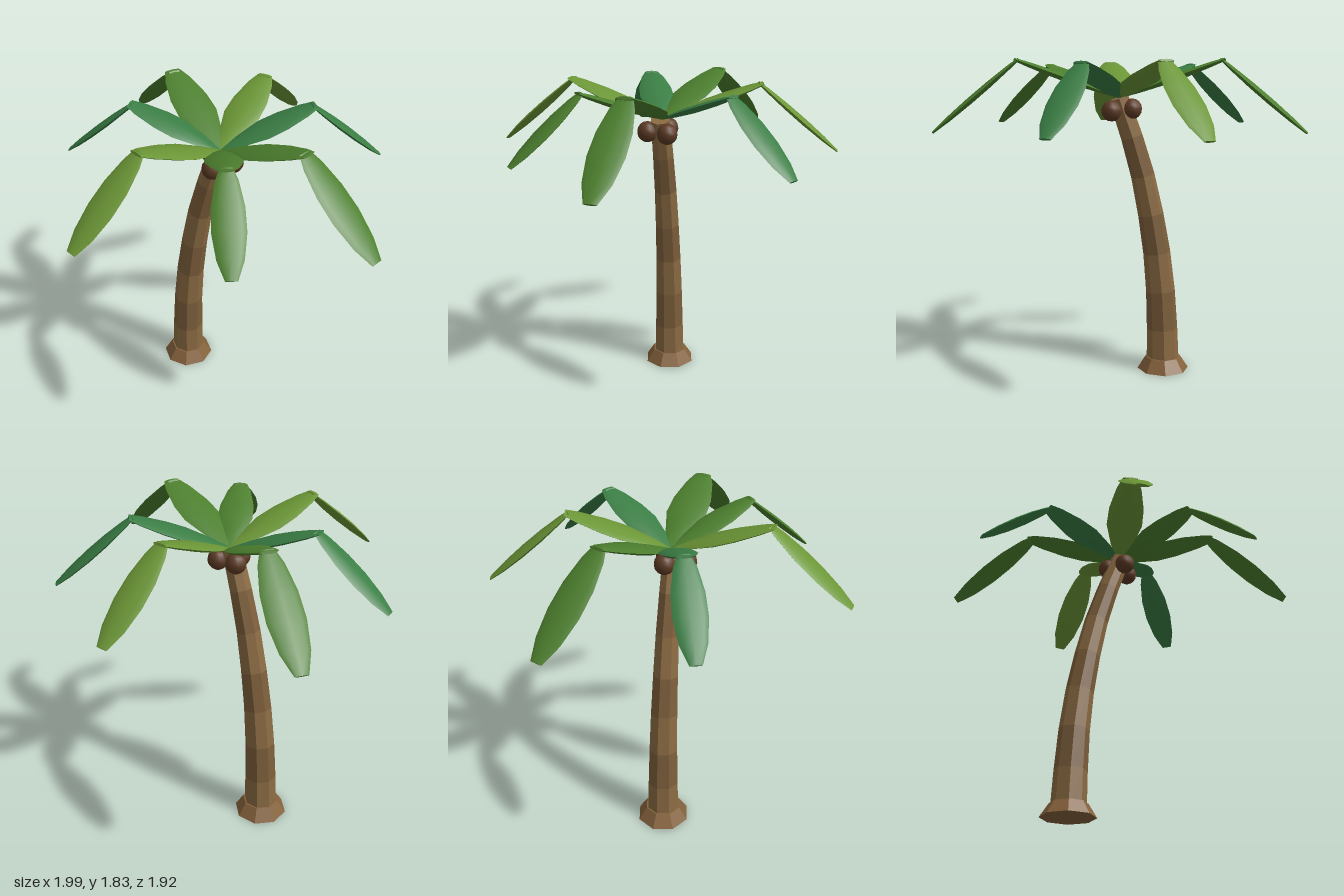
import * as THREE from 'three';
import { toCreasedNormals } from 'three/addons/utils/BufferGeometryUtils.js';

// Capped loft along a path in the xy plane.
// Each station: { p: centre, d: direction, w: half-size along z, h: half-size across }
function loft(stations, sides, phase = 0) {
  const pos = [], idx = [];
  const zAxis = new THREE.Vector3(0, 0, 1);
  for (const { p, d, w, h } of stations) {
    const v = d.clone().cross(zAxis);
    for (let j = 0; j < sides; j++) {
      const a = phase + (j / sides) * Math.PI * 2;
      const q = p.clone().addScaledVector(zAxis, Math.cos(a) * w).addScaledVector(v, Math.sin(a) * h);
      pos.push(q.x, q.y, q.z);
    }
  }
  const last = (stations.length - 1) * sides;
  for (let i = 0; i < last; i += sides) {
    for (let j = 0; j < sides; j++) {
      const k = (j + 1) % sides;
      idx.push(i + j, i + k, i + sides + k, i + j, i + sides + k, i + sides + j);
    }
  }
  for (let j = 1; j < sides - 1; j++) {
    idx.push(0, j + 1, j, last, last + j, last + j + 1);
  }
  const geo = new THREE.BufferGeometry();
  geo.setAttribute('position', new THREE.Float32BufferAttribute(pos, 3));
  geo.setIndex(idx);
  geo.computeVertexNormals();
  return geo;
}

// Flattened leaf blade from a to b; profile holds [position, relative width]
function blade(a, b, profile, halfWidth, halfThick) {
  const d = b.clone().sub(a).normalize();
  const stations = profile.map(([t, s]) => ({
    p: a.clone().lerp(b, t), d, w: halfWidth * s, h: halfThick * s,
  }));
  return toCreasedNormals(loft(stations, 8), 0.6);
}

export function createModel() {
  const model = new THREE.Group();
  const mat = (color, flatShading = false) => new THREE.MeshStandardMaterial({ color, flatShading });
  const add = (parent, name, geo, material) => {
    const mesh = new THREE.Mesh(geo, material);
    mesh.name = name;
    parent.add(mesh);
    return mesh;
  };

  const SIDES = 8, PHASE = -0.17;
  const bark = [mat(0x8b6b43, true), mat(0x7d5f3b, true)];
  const up = new THREE.Vector3(0, 1, 0);

  // Flared foot
  add(model, 'trunkBase', loft([
    { p: new THREE.Vector3(-0.315, 0, 0), d: up, w: 0.152, h: 0.152 },
    { p: new THREE.Vector3(-0.313, 0.075, 0), d: up, w: 0.104, h: 0.104 },
  ], SIDES, PHASE), mat(0x85623c, true));

  // Curved trunk, in bands of alternating bark
  const path = new THREE.CatmullRomCurve3([
    [-0.315, 0.02], [-0.306, 0.3], [-0.285, 0.6], [-0.24, 0.9],
    [-0.175, 1.2], [-0.08, 1.5], [-0.04, 1.61],
  ].map(([x, y]) => new THREE.Vector3(x, y, 0)));
  const trunk = new THREE.Group();
  trunk.name = 'trunk';
  model.add(trunk);
  const BANDS = 7;
  const ring = (t) => {
    const r = 0.097 - 0.041 * t;
    return { p: path.getPointAt(t), d: path.getTangentAt(t), w: r, h: r };
  };
  for (let i = 0; i < BANDS; i++) {
    add(trunk, 'trunkBand', loft([ring(i / BANDS), ring((i + 1) / BANDS)], SIDES, PHASE), bark[i % 2]);
  }

  // Fronds: [angle in degrees, reach, leaf colour]
  const greens = [mat(0x4c7f2e), mat(0x6b9636), mat(0x3a7d44)];
  const innerProfile = [[0, 0.12], [0.2, 0.62], [0.45, 1], [0.65, 0.96], [0.88, 0.68], [1, 0.4]];
  const outerProfile = [[0, 0.38], [0.12, 0.68], [0.35, 0.96], [0.58, 1], [0.82, 0.78], [1, 0.36]];
  const crown = new THREE.Group();
  crown.name = 'crown';
  crown.position.set(-0.042, 1.61, -0.012);
  model.add(crown);
  const fronds = [
    [5.5, 1.03, 0], [47.3, 0.89, 0], [97.2, 0.97, 1], [160, 0.9, 2],
    [203, 1.03, 0], [257.8, 0.965, 1], [304.6, 0.92, 2],
  ];
  for (const [deg, reach, c] of fronds) {
    const frond = new THREE.Group();
    frond.name = 'frond';
    frond.rotation.y = -THREE.MathUtils.degToRad(deg);
    crown.add(frond);
    const root = new THREE.Vector3(0, 0, 0);
    const bend = new THREE.Vector3(0.565 * reach, 0.205 * reach, 0);
    const start = new THREE.Vector3(0.54 * reach, 0.207 * reach, 0);
    const tip = new THREE.Vector3(reach, -0.178 * reach, 0);
    add(frond, 'innerLeaf', blade(root, bend, innerProfile, 0.108 * reach, 0.02), greens[c]);
    add(frond, 'outerLeaf', blade(start, tip, outerProfile, 0.093 * reach, 0.018), greens[c]);
  }

  // Coconuts clustered under the crown
  const nut = new THREE.SphereGeometry(0.058, 12, 8);
  const shell = mat(0x5c3a24);
  for (const [x, y, z] of [[-0.03, 1.54, 0.07], [0.012, 1.54, -0.05], [-0.11, 1.55, -0.03]]) {
    add(model, 'coconut', nut, shell).position.set(x, y, z);
  }
  return model;
}
